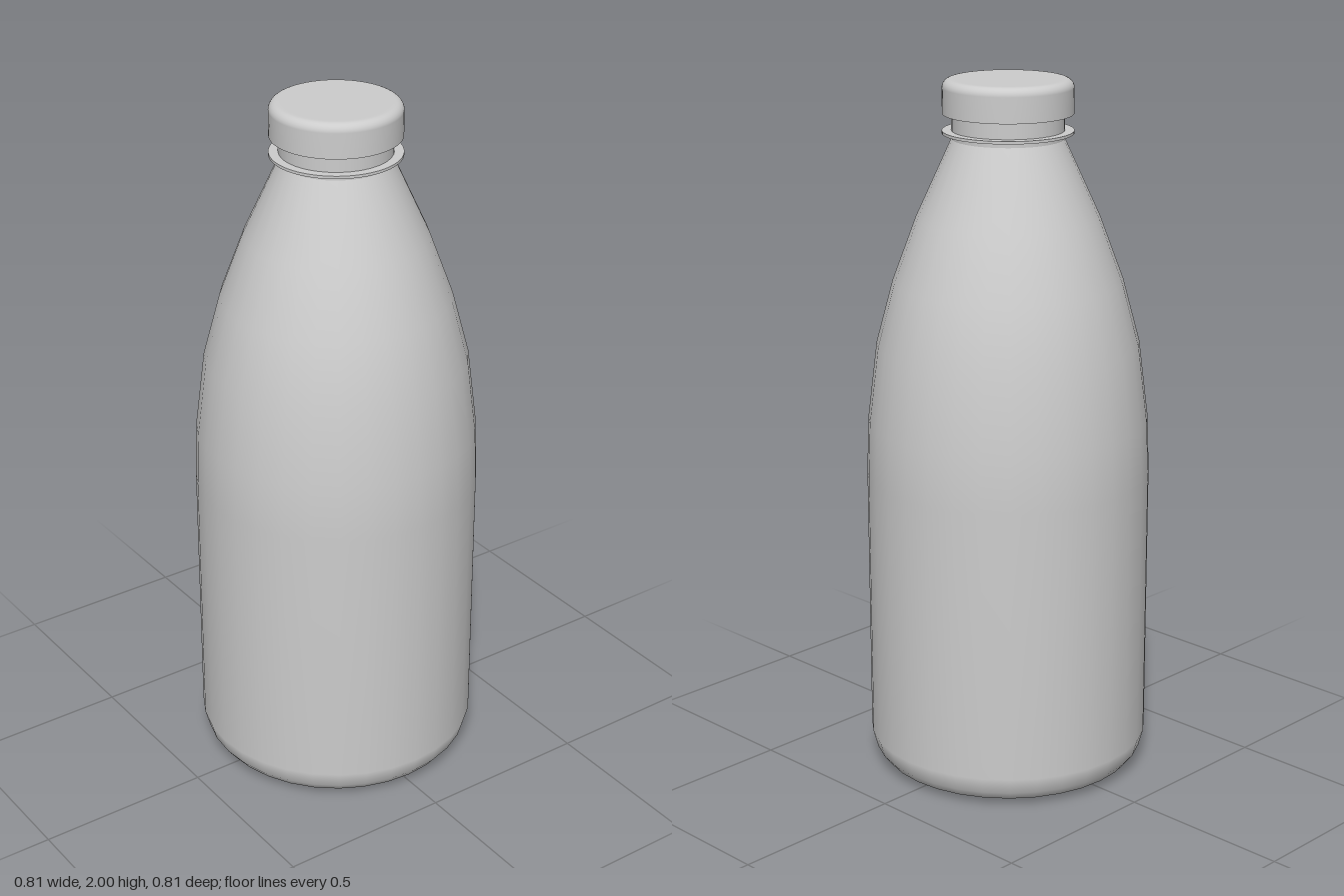
import * as THREE from 'three';

// Lathe a list of [radius, height] points, listed from bottom to top on the outside
function turned(name, profile, segments, material) {
  const points = profile.map(([r, y]) => new THREE.Vector2(r, y));
  const mesh = new THREE.Mesh(new THREE.LatheGeometry(points, segments), material);
  mesh.name = name;
  return mesh;
}

export function createModel() {
  const group = new THREE.Group();
  group.name = 'bottle';
  const grey = new THREE.MeshStandardMaterial({ color: 0xcccccc });
  grey.name = 'plain grey';

  // Body: rounded base, straight wall and long tapering shoulder
  group.add(turned('body', [
    [0, 0], [0.29, 0.002], [0.335, 0.007], [0.37, 0.022], [0.39, 0.048], [0.403, 0.095],
    [0.403, 0.88], [0.397, 1.04], [0.37, 1.26], [0.322, 1.44], [0.255, 1.62], [0.152, 1.845],
  ], 32, grey));

  // Neck, running up inside the cap
  group.add(turned('neck', [[0.156, 1.835], [0.156, 1.92]], 32, grey));

  // Thin collar ring round the neck
  const collar = new THREE.Mesh(new THREE.CylinderGeometry(0.182, 0.182, 0.008, 64), grey);
  collar.name = 'collar';
  collar.position.y = 1.855;
  group.add(collar);

  // Cap: flat underside, straight side and rounded top edge
  const side = [[0.181, 1.905], [0.181, 1.976]];
  const radius = 0.024;
  for (let i = 1; i <= 6; i++) {
    const a = (i / 6) * Math.PI / 2;
    side.push([0.157 + radius * Math.cos(a), 1.976 + radius * Math.sin(a)]);
  }
  side.push([0.15, 2], [0, 2]);
  const cap = new THREE.Group();
  cap.name = 'cap';
  cap.add(turned('capShell', side, 64, grey));
  cap.add(turned('capUnderside', [[0, 1.905], [0.181, 1.905]], 64, grey));
  group.add(cap);

  return group;
}
